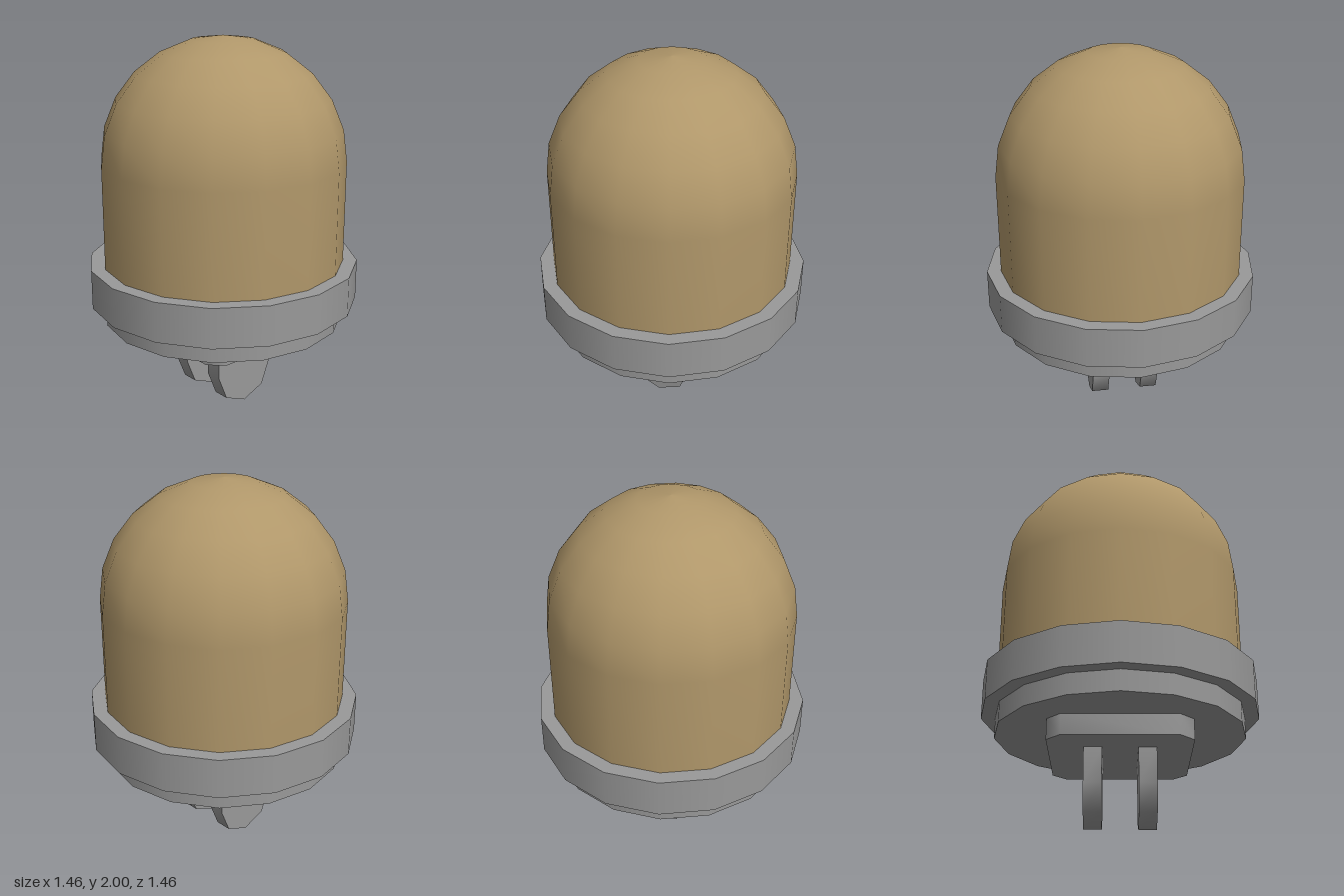
import * as THREE from 'three';
import { toCreasedNormals } from 'three/addons/utils/BufferGeometryUtils.js';

const SIDES = 16;

export function createModel() {
  const model = new THREE.Group();
  model.name = 'indicatorLamp';
  const amber = new THREE.MeshStandardMaterial({ name: 'tan lens', color: 0xb0976a });
  const grey = new THREE.MeshStandardMaterial({ name: 'grey base', color: 0x999999 });

  const add = (name, geometry, material) => {
    const mesh = new THREE.Mesh(geometry, material);
    mesh.name = name;
    model.add(mesh);
    return mesh;
  };

  // Lens: straight wall running into a hemisphere
  const radius = 0.653, shoulder = 1.347;
  const profile = [new THREE.Vector2(radius, 0.8)];
  for (let i = 0; i <= 6; i++) {
    const a = (i / 6) * Math.PI / 2;
    profile.push(new THREE.Vector2(i === 6 ? 0 : radius * Math.cos(a), shoulder + radius * Math.sin(a)));
  }
  add('lens', new THREE.LatheGeometry(profile, SIDES), amber);

  // Stepped round base
  const ring = (name, r, y0, y1) => {
    const geometry = new THREE.CylinderGeometry(r, r, y1 - y0, SIDES);
    geometry.translate(0, (y0 + y1) / 2, 0);
    add(name, geometry, grey);
  };
  ring('collar', 0.728, 0.587, 0.8);
  ring('lowerRing', 0.653, 0.478, 0.587);

  // Square pad with softened corners
  const h = 0.363, c = 0.29;
  const pad = new THREE.Shape([
    [h, -c], [h, c], [c, h], [-c, h], [-h, c], [-h, -c], [-c, -h], [c, -h],
  ].map(([x, y]) => new THREE.Vector2(x, y)));
  const padGeometry = new THREE.ExtrudeGeometry(pad, { depth: 0.108, bevelEnabled: false });
  padGeometry.rotateX(-Math.PI / 2).translate(0, 0.37, 0);
  add('pad', toCreasedNormals(padGeometry, 0.9), grey);

  // Two contact blades with rounded tips
  const w = 0.185;
  const outline = [new THREE.Vector2(w, 0.37), new THREE.Vector2(-w, 0.37)];
  for (let i = 0; i <= 4; i++) {
    const a = Math.PI + (i / 4) * Math.PI;
    outline.push(new THREE.Vector2(w * Math.cos(a), w + 0.003 + (w + 0.003) * Math.sin(a)));
  }
  const blade = new THREE.ExtrudeGeometry(new THREE.Shape(outline), { depth: 0.092, bevelEnabled: false });
  blade.translate(0, 0, -0.046).rotateY(Math.PI / 2);
  const bladeGeometry = toCreasedNormals(blade, 0.9);
  for (const side of [1, -1]) {
    add(side > 0 ? 'leftBlade' : 'rightBlade', bladeGeometry, grey).position.x = side * 0.137;
  }

  return model;
}
